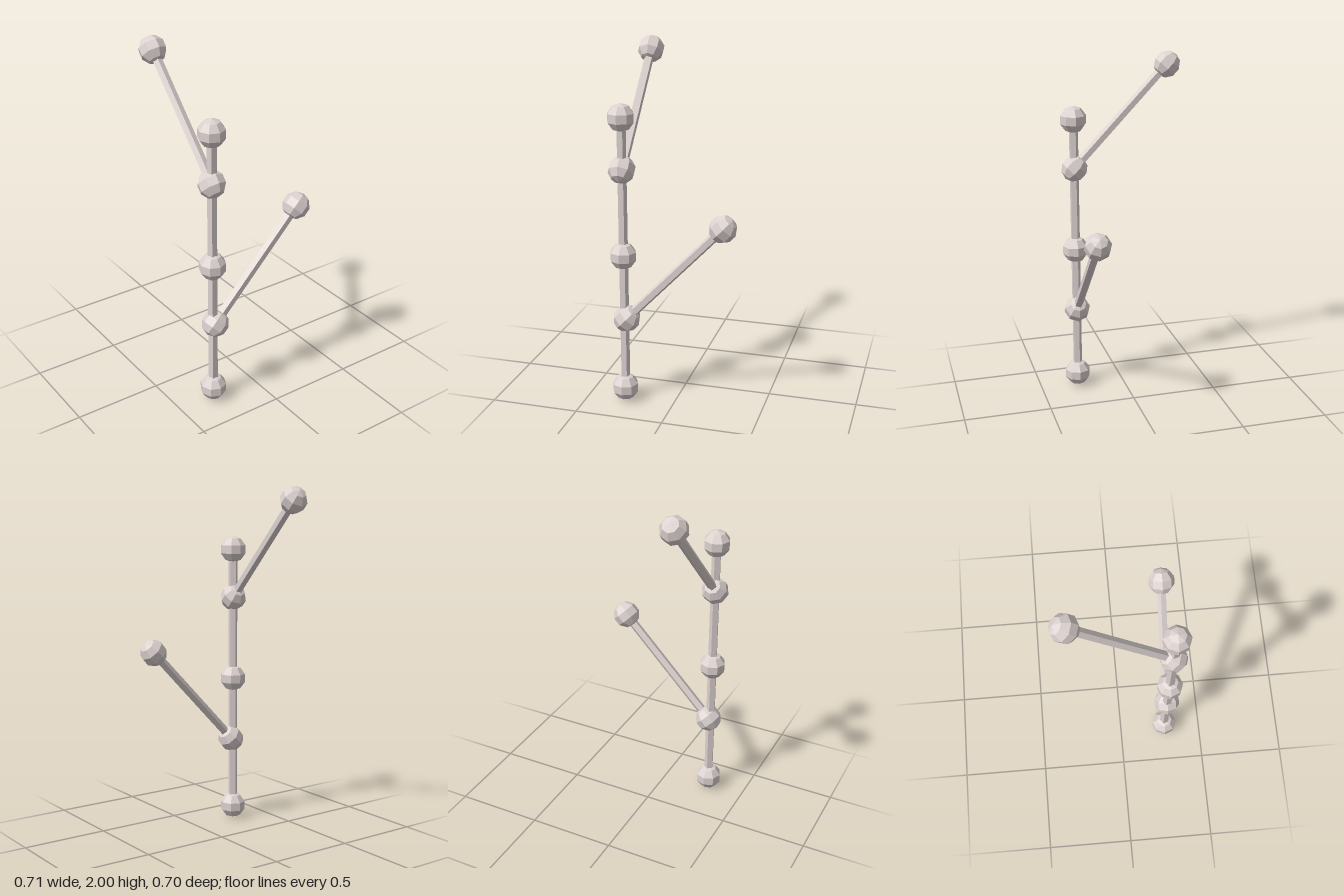
import * as THREE from 'three';

const BALL_R = 0.0775, ROD_R = 0.027;
const STEM_X = -0.282, STEM_Z = 0.275;
const STEM_BOTTOM = 0.0775, STEM_TOP = 1.638;

export function createModel() {
  const grey = new THREE.MeshStandardMaterial({ color: 0xdcd2d0, flatShading: true });
  grey.name = 'pale warm grey';
  const ballGeometry = new THREE.SphereGeometry(BALL_R, 8, 5);

  const addBall = (parent, name, y) => {
    const ball = new THREE.Mesh(ballGeometry, grey);
    ball.name = name;
    ball.position.y = y;
    parent.add(ball);
  };

  // Five-sided rod running upward from y0 to y1, one edge facing the back
  const addRod = (parent, name, y0, y1) => {
    const rod = new THREE.Mesh(
      new THREE.CylinderGeometry(ROD_R, ROD_R, y1 - y0, 5, 1, false, Math.PI), grey);
    rod.name = name;
    rod.position.y = (y0 + y1) / 2;
    parent.add(rod);
  };

  const model = new THREE.Group();
  model.name = 'branchingNodes';

  // Upright stem with its straight nodes
  const stem = new THREE.Group();
  stem.name = 'stem';
  stem.position.set(STEM_X, 0, STEM_Z);
  addRod(stem, 'stemRod', STEM_BOTTOM, STEM_TOP);
  addBall(stem, 'baseNode', STEM_BOTTOM);
  addBall(stem, 'middleNode', 0.868);
  addBall(stem, 'topNode', STEM_TOP);
  model.add(stem);

  // Slanted branches, each with a node at both ends
  const tilt = 0.763, length = 0.79;
  const addBranch = (name, x, y, z, yaw) => {
    const branch = new THREE.Group();
    branch.name = name;
    branch.position.set(x, y, z);
    branch.rotation.set(0, yaw, -tilt, 'YXZ');
    addRod(branch, name + 'Rod', 0, length);
    addBall(branch, name + 'JointNode', 0);
    addBall(branch, name + 'TipNode', length);
    model.add(branch);
  };
  addBranch('lowerBranch', -0.267, 0.498, STEM_Z, 0);
  addBranch('upperBranch', STEM_X, 1.354, 0.272, Math.PI / 2);

  return model;
}
